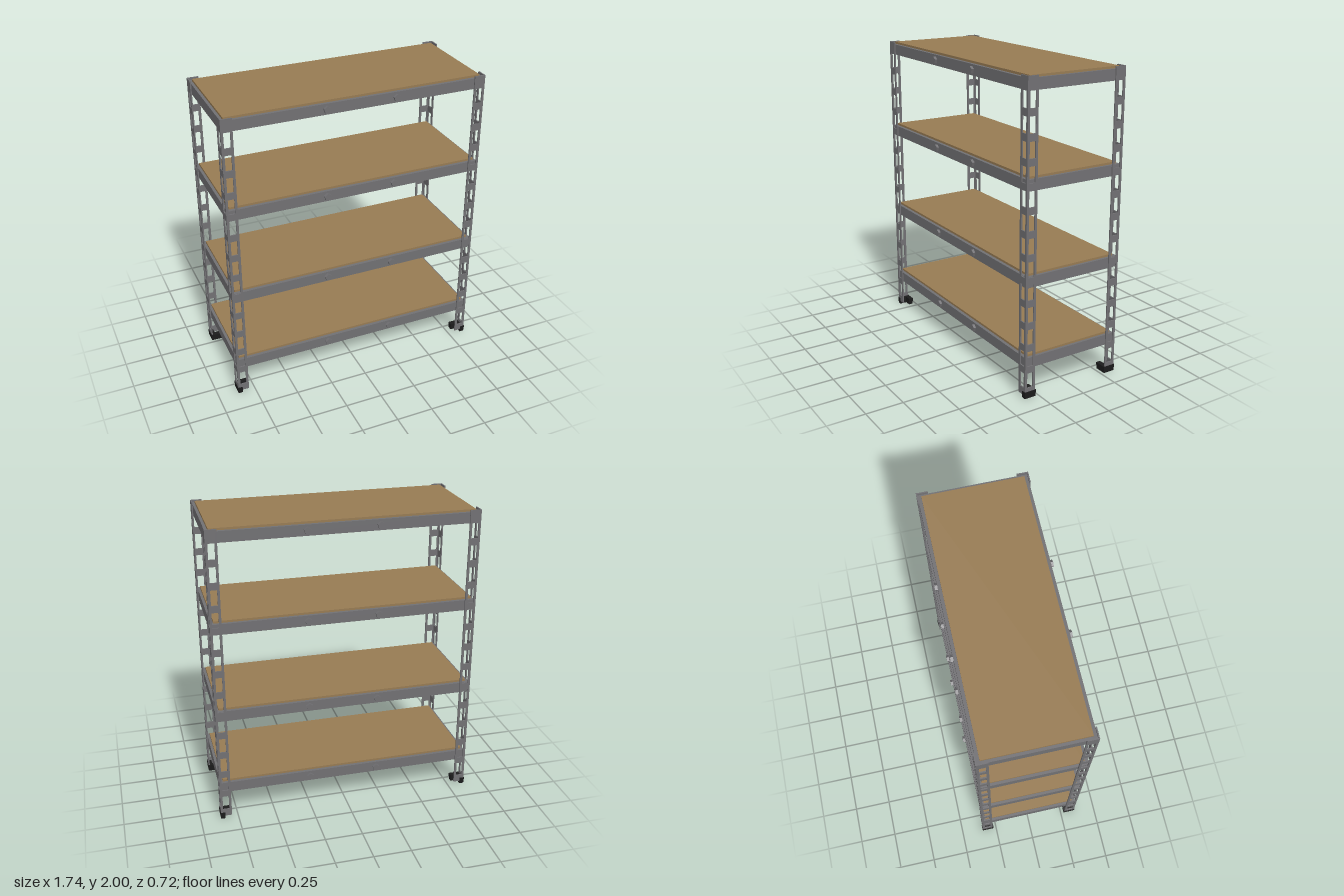
import * as THREE from 'three';

const steel = new THREE.MeshStandardMaterial({ color: 0x717073 });
steel.name = 'grey steel';
const wood = new THREE.MeshStandardMaterial({ color: 0x977b53 });
wood.name = 'brown board';
const rubber = new THREE.MeshStandardMaterial({ color: 0x1c1c1c });
rubber.name = 'black rubber';

const HX = 0.866, HZ = 0.349;      // outer corners of the posts
const BX = 0.858, BZ = 0.341;      // outer faces of the beams
const FLANGE = 0.073, T = 0.008;   // post flange width and sheet thickness
const BEAM_H = 0.07;
const BRACES = [-0.21, 0.25];

function add(parent, name, geometry, material) {
  const mesh = new THREE.Mesh(geometry, material);
  mesh.name = name;
  parent.add(mesh);
  return mesh;
}

function box(parent, name, material, w, h, d, x, y, z) {
  add(parent, name, new THREE.BoxGeometry(w, h, d), material).position.set(x, y, z);
}

// One slotted face of an angle post, outer edge at x = 0
function slottedFlange() {
  const shape = new THREE.Shape();
  shape.moveTo(-FLANGE, 0.02).lineTo(0, 0.02).lineTo(0, 2).lineTo(-FLANGE, 2).closePath();
  for (let i = 0; i < 13; i++) {
    const y = 1.866 - i * 0.1455, x = -FLANGE / 2, w = 0.021, h = 0.05;
    const slot = new THREE.Path();
    slot.moveTo(x - w, y - h).lineTo(x - w, y + h).lineTo(x + w, y + h).lineTo(x + w, y - h).closePath();
    shape.holes.push(slot);
  }
  return new THREE.ExtrudeGeometry(shape, { depth: T, bevelEnabled: false }).translate(0, 0, -T);
}

// L-shaped foot, a little narrower at the floor
function footGeometry() {
  const a = 0.004, b = -0.08, c = -0.028;
  const shape = new THREE.Shape();
  shape.moveTo(a, a).lineTo(b, a).lineTo(b, c).lineTo(c, c).lineTo(c, b).lineTo(a, b).closePath();
  const geo = new THREE.ExtrudeGeometry(shape, { depth: 0.045, bevelEnabled: false });
  geo.rotateX(Math.PI / 2).translate(0, 0.045, 0);
  geo.rotateY(Math.PI / 2);
  const p = geo.attributes.position;
  const mid = (a + b) / 2;
  geo.computeBoundingBox();
  geo.translate(a - geo.boundingBox.max.x, 0, a - geo.boundingBox.max.z);
  for (let i = 0; i < p.count; i++) {
    if (p.getY(i) < 0.01) {
      p.setX(i, mid + (p.getX(i) - mid) * 0.93);
      p.setZ(i, mid + (p.getZ(i) - mid) * 0.93);
    }
  }
  geo.computeVertexNormals();
  return geo;
}

// Angle post standing at the +x +z corner
function makePost() {
  const post = new THREE.Group();
  const flange = slottedFlange();
  add(post, 'postFrontFlange', flange, steel);
  add(post, 'postSideFlange', flange.clone().rotateY(-Math.PI / 2).translate(-T, 0, 0), steel);
  add(post, 'foot', footGeometry(), rubber);
  return post;
}

// Beam frame, braces, bolts and board; y is the top of the beams
function makeShelf(y) {
  const shelf = new THREE.Group();
  shelf.name = 'shelf';
  const mid = y - BEAM_H / 2, lip = 0.03;
  for (const s of [-1, 1]) {
    box(shelf, 'longBeam', steel, BX * 2, BEAM_H, T, 0, mid, s * (BZ - T / 2));
    box(shelf, 'longBeamLip', steel, BX * 2, T, lip, 0, y - T / 2, s * (BZ - lip / 2));
    box(shelf, 'endBeam', steel, T, BEAM_H, BZ * 2, s * (BX - T / 2), mid, 0);
    box(shelf, 'endBeamLip', steel, lip, T, BZ * 2 - lip * 2, s * (BX - lip / 2), y - T / 2, 0);
    for (const x of BRACES) {
      const bolt = new THREE.CylinderGeometry(0.024, 0.024, 0.018, 5).toNonIndexed();
      bolt.rotateX(-Math.PI / 2);
      bolt.computeVertexNormals();
      add(shelf, 'bolt', bolt, steel).position.set(x, mid, s * (BZ + 0.008));
    }
  }
  for (const x of BRACES) {
    box(shelf, 'crossBrace', steel, 0.035, 0.035, BZ * 2 - T * 2, x, y - 0.0185, 0);
  }
  box(shelf, 'board', wood, 1.68, 0.016, 0.64, 0, y + 0.006, 0);
  return shelf;
}

export function createModel() {
  const model = new THREE.Group();
  model.name = 'shelvingUnit';
  for (const sx of [-1, 1]) {
    for (const sz of [-1, 1]) {
      const post = makePost();
      post.name = (sz > 0 ? 'front' : 'back') + (sx > 0 ? 'Left' : 'Right') + 'Post';
      post.position.set(sx * HX, 0, sz * HZ);
      post.scale.set(sx, 1, sz);
      model.add(post);
    }
  }
  for (const y of [0.27, 0.8, 1.4, 1.985]) model.add(makeShelf(y));
  return model;
}
